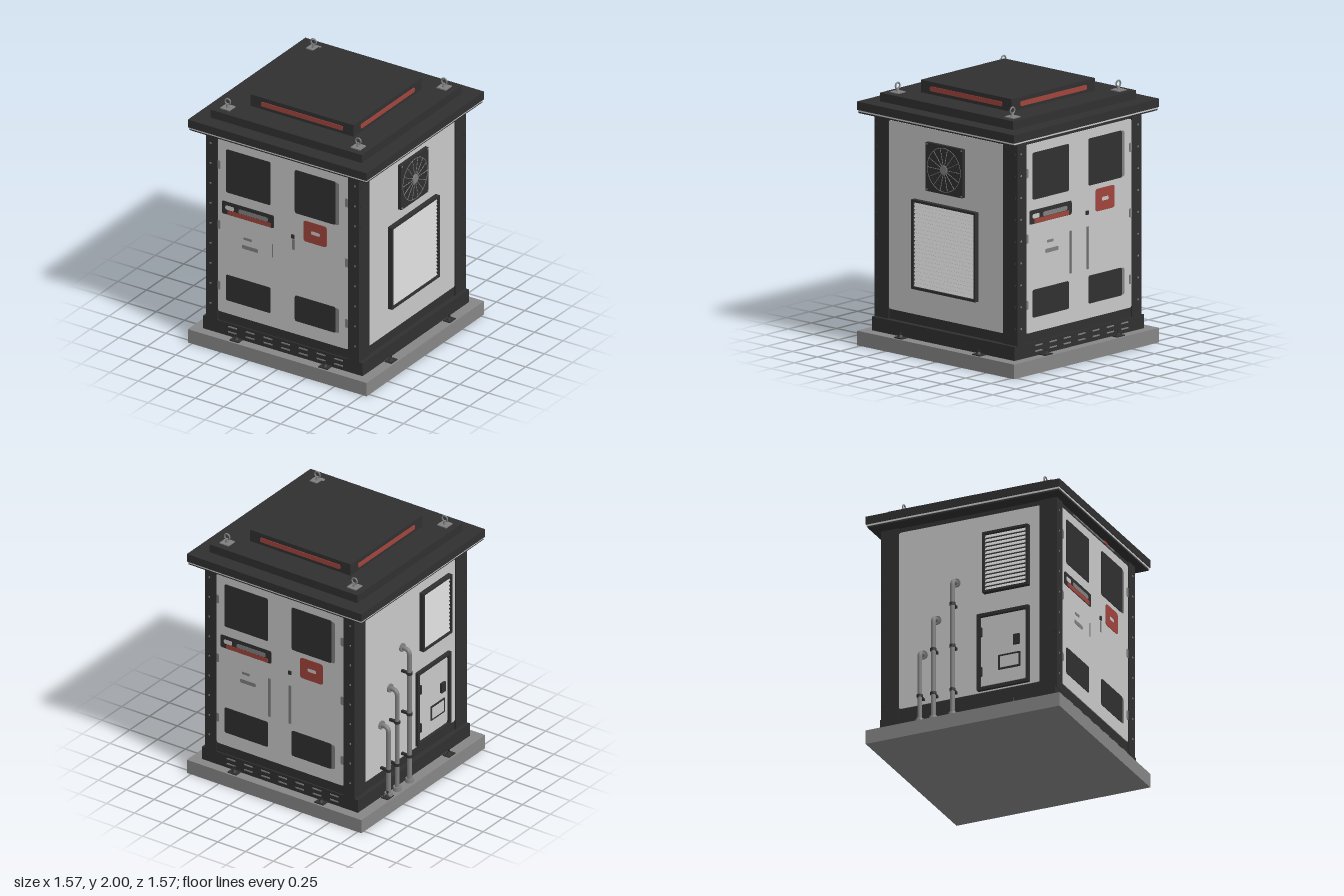
import * as THREE from 'three';

const mat = (name, color, side = THREE.FrontSide) => {
  const m = new THREE.MeshStandardMaterial({ color, side });
  m.name = name;
  return m;
};

export function createModel() {
  const dark = mat('charcoal paint', 0x303030);
  const light = mat('light grey panel', 0xc8c8c8);
  const grey = mat('concrete grey', 0x868686);
  const steel = mat('steel', 0x808080);
  const red = mat('signal red', 0xa0443c);
  const root = new THREE.Group();

  const add = (parent, name, geo, m, x = 0, y = 0, z = 0) => {
    const mesh = new THREE.Mesh(geo, m);
    mesh.name = name;
    mesh.position.set(x, y, z);
    parent.add(mesh);
    return mesh;
  };
  const box = (parent, name, m, w, h, d, x, y, z) =>
    add(parent, name, new THREE.BoxGeometry(w, h, d), m, x, y, z);
  // box centred on x and z, given by its bottom and top
  const tier = (name, m, w, d, y0, y1) => box(root, name, m, w, y1 - y0, d, 0, (y0 + y1) / 2, 0);

  const roundRect = (P, x0, y0, x1, y1, r) => {
    const s = new P();
    s.moveTo(x0 + r, y0);
    s.lineTo(x1 - r, y0); s.quadraticCurveTo(x1, y0, x1, y0 + r);
    s.lineTo(x1, y1 - r); s.quadraticCurveTo(x1, y1, x1 - r, y1);
    s.lineTo(x0 + r, y1); s.quadraticCurveTo(x0, y1, x0, y1 - r);
    s.lineTo(x0, y0 + r); s.quadraticCurveTo(x0, y0, x0 + r, y0);
    return s;
  };
  // rounded plate between corners, with an optional rectangular opening
  const plate = (parent, name, m, [x0, y0, x1, y1], r, z, d = 0.005, hole = null) => {
    const s = roundRect(THREE.Shape, x0, y0, x1, y1, r);
    if (hole) s.holes.push(roundRect(THREE.Path, ...hole, r * 0.6));
    const g = new THREE.ExtrudeGeometry(s, { depth: d, bevelEnabled: false, curveSegments: 4 });
    return add(parent, name, g, m, 0, 0, z);
  };
  // group whose local +z points out of one side of the enclosure
  const side = (name, angle) => {
    const g = new THREE.Group();
    g.name = name;
    g.rotation.y = angle;
    root.add(g);
    return g;
  };

  // base, body and stepped roof
  tier('baseSlab', grey, 1.57, 1.57, 0, 0.11);
  tier('skirt', dark, 1.4, 1.42, 0.11, 0.215);
  tier('body', dark, 1.32, 1.4, 0.2, 1.757);
  tier('roofLip', dark, 1.55, 1.55, 1.752, 1.764);
  tier('roofTrim', light, 1.56, 1.56, 1.764, 1.777);
  tier('roofPlate', dark, 1.57, 1.57, 1.777, 1.84);
  tier('roofStep', dark, 1.33, 1.33, 1.84, 1.905);
  tier('roofCap', dark, 0.905, 0.905, 1.905, 2.0);

  // corner posts with rivets, lifting eyes
  for (const sx of [-1, 1]) for (const sz of [-1, 1]) {
    box(root, 'cornerPost', dark, 0.1, 1.545, 0.14, sx * 0.622, 0.985, sz * 0.642);
    for (let i = 0; i < 9; i++) {
      const y = 0.34 + i * 0.165;
      box(root, 'rivet', steel, 0.012, 0.012, 0.006, sx * 0.633, y, sz * 0.713);
      box(root, 'rivet', dark, 0.008, 0.014, 0.014, sx * 0.674, y, sz * 0.69);
    }
    const eye = new THREE.Group();
    eye.name = 'liftingEye';
    eye.position.set(sx * 0.573, 1.905, sz * 0.573);
    root.add(eye);
    box(eye, 'eyePlate', steel, 0.082, 0.008, 0.082, 0, 0.004, 0);
    add(eye, 'eyeStem', new THREE.CylinderGeometry(0.009, 0.016, 0.03, 12), steel, 0, 0.02, 0);
    add(eye, 'eyeRing', new THREE.TorusGeometry(0.023, 0.006, 8, 20), steel, 0, 0.052, 0);
  }

  // roof strips and ground anchors on all four sides
  for (let i = 0; i < 4; i++) {
    const s = side('sideFittings', i * Math.PI / 2);
    plate(s, 'roofStrip', red, [-0.36, 1.93, 0.36, 1.967], 0.015, 0.452);
    for (const x of [-0.39, 0.39]) {
      box(s, 'anchorFoot', dark, 0.08, 0.008, 0.06, x, 0.114, 0.74);
      add(s, 'anchorNut', new THREE.CylinderGeometry(0.012, 0.022, 0.02, 6), dark, x, 0.126, 0.74);
      add(s, 'anchorBolt', new THREE.CylinderGeometry(0.006, 0.006, 0.03, 8), dark, x, 0.145, 0.74);
    }
  }

  // double doors, the same on front and back
  const doors = (name, angle, longHandles) => {
    const s = side(name, angle);
    const Z = 0.706;
    plate(s, 'doorPanel', light, [-0.573, 0.29, 0.57, 1.715], 0.02, 0.699, 0.007);
    for (const [y0, y1] of [[1.29, 1.645], [0.4, 0.61]]) {
      plate(s, 'windowLeft', dark, [-0.5, y0, -0.11, y1], 0.015, Z, 0.004);
      plate(s, 'windowEdge', steel, [0.4, y0 + 0.004, 0.492, y1 - 0.004], 0.02, Z, 0.003);
      plate(s, 'windowRight', dark, [0.105, y0, 0.462, y1], 0.015, Z, 0.005);
    }
    plate(s, 'signPlate', dark, [-0.535, 1.108, -0.08, 1.212], 0.015, Z, 0.004);
    plate(s, 'signStripe', red, [-0.485, 1.11, -0.11, 1.145], 0.004, Z + 0.003, 0.003);
    plate(s, 'signPatch', light, [-0.505, 1.148, -0.43, 1.182], 0.014, Z + 0.003, 0.003);
    plate(s, 'signPatch', steel, [-0.39, 1.148, -0.13, 1.182], 0.014, Z + 0.003, 0.003);
    plate(s, 'markerBadge', red, [0.18, 1.08, 0.385, 1.25], 0.025, Z, 0.004, [0.245, 1.15, 0.325, 1.18]);
    plate(s, 'smallTag', steel, [-0.345, 0.94, -0.275, 0.96], 0.006, Z, 0.003);
    plate(s, 'smallTag', steel, [-0.36, 0.865, -0.22, 0.895], 0.01, Z, 0.003);
    box(s, 'lockKnob', dark, 0.025, 0.03, 0.012, 0.088, 1.09, Z + 0.003);
    for (const x of [-0.092, 0.092]) {
      if (longHandles) box(s, 'doorHandle', steel, 0.02, 0.32, 0.012, x, 0.825, Z + 0.004);
      else if (x < 0) box(s, 'handleEdge', steel, 0.01, 0.11, 0.006, x, 0.92, Z);
      else box(s, 'latch', steel, 0.022, 0.085, 0.008, x, 1.025, Z);
    }
    for (const y of [0.505, 1.005, 1.5]) for (const sx of [-1, 1])
      plate(s, 'hinge', steel, sx < 0 ? [-0.578, y - 0.035, -0.55, y + 0.035]
        : [0.545, y - 0.035, 0.574, y + 0.035], 0.01, Z, 0.004);
    // lower air slots and header strip
    for (let i = 0; i < 7; i++) for (const y of [0.145, 0.188])
      box(s, 'airSlot', steel, 0.075, 0.01, 0.006, -0.44 + i * 0.155, y, 0.712);
    box(s, 'headerRail', steel, 0.7, 0.01, 0.01, -0.02, 1.735, 0.703);
    box(s, 'headerLamp', red, 0.05, 0.02, 0.012, 0.18, 1.738, 0.704);
  };
  doors('frontDoors', 0, false);
  doors('backDoors', Math.PI, true);

  // framed louvre grille
  const louvre = (s, [x0, y0, x1, y1], n) => {
    const f = 0.018, cx = (x0 + x1) / 2, step = (y1 - y0 - 2 * f) / n;
    plate(s, 'louvreFrame', dark, [x0, y0, x1, y1], 0.004, 0.662, 0.04,
      [x0 + f, y0 + f, x1 - f, y1 - f]);
    box(s, 'louvreBacking', dark, x1 - x0 - f, y1 - y0 - f, 0.004, cx, (y0 + y1) / 2, 0.669);
    for (let i = 0; i < n; i++) {
      const slat = box(s, 'slat', light, x1 - x0 - 2 * f, step * 0.95, 0.004,
        cx, y0 + f + (i + 0.5) * step, 0.684);
      slat.rotation.x = -0.5;
    }
  };

  // right side: fan and large grille
  const right = side('rightSide', Math.PI / 2);
  plate(right, 'sidePanel', light, [-0.573, 0.29, 0.573, 1.715], 0.02, 0.659, 0.007);
  louvre(right, [-0.32, 0.488, 0.32, 1.163], 22);
  const fan = new THREE.Group();
  fan.name = 'fan';
  fan.position.set(0, 1.433, 0.665);
  right.add(fan);
  plate(fan, 'fanHousing', dark, [-0.184, -0.184, 0.184, 0.184], 0.008, 0, 0.028);
  for (const r of [0.165, 0.135, 0.1, 0.066])
    add(fan, 'guardRing', new THREE.TorusGeometry(r, 0.0025, 4, 40), r === 0.165 ? steel : dark, 0, 0, 0.03);
  for (let i = 0; i < 14; i++) {
    const a = i * Math.PI / 7;
    const spoke = box(fan, 'guardSpoke', steel, 0.135, 0.0035, 0.004,
      Math.cos(a) * 0.098, Math.sin(a) * 0.098, 0.03);
    spoke.rotation.z = a;
  }
  add(fan, 'fanHub', new THREE.CylinderGeometry(0.035, 0.035, 0.012, 24), steel, 0, 0, 0.03)
    .rotation.x = Math.PI / 2;
  for (const sx of [-1, 1]) for (const sy of [-1, 1])
    box(fan, 'fanScrew', steel, 0.012, 0.012, 0.004, sx * 0.172, sy * 0.172, 0.029);

  // left side: small grille, service hatch and pipes
  const left = side('leftSide', -Math.PI / 2);
  plate(left, 'sidePanel', light, [-0.573, 0.29, 0.573, 1.715], 0.02, 0.659, 0.007);
  louvre(left, [0.12, 1.08, 0.49, 1.57], 14);
  plate(left, 'hatchFrame', dark, [0.07, 0.3, 0.49, 0.92], 0.006, 0.664, 0.026, [0.095, 0.325, 0.465, 0.895]);
  plate(left, 'hatchDoor', light, [0.105, 0.335, 0.455, 0.885], 0.012, 0.664, 0.014);
  box(left, 'hatchLock', dark, 0.05, 0.08, 0.02, 0.39, 0.66, 0.684);
  plate(left, 'hatchLabelFrame', dark, [0.24, 0.44, 0.42, 0.56], 0.006, 0.678, 0.005);
  plate(left, 'hatchLabel', light, [0.255, 0.455, 0.405, 0.545], 0.004, 0.682, 0.004);
  for (const y of [0.45, 0.77]) box(left, 'hatchHinge', dark, 0.02, 0.07, 0.02, 0.1, y, 0.685);

  const Z = 0.735;
  for (const [x, top] of [[-0.105, 1.215], [-0.26, 0.945], [-0.37, 0.685]]) {
    const path = new THREE.CurvePath();
    const p = (y, z) => new THREE.Vector3(x, y, z);
    path.add(new THREE.LineCurve3(p(0.11, Z), p(top - 0.045, Z)));
    path.add(new THREE.QuadraticBezierCurve3(p(top - 0.045, Z), p(top, Z), p(top, Z - 0.045)));
    path.add(new THREE.LineCurve3(p(top, Z - 0.045), p(top, 0.66)));
    add(left, 'pipe', new THREE.TubeGeometry(path, 90, 0.018, 12), steel);
    add(left, 'pipeFlange', new THREE.CylinderGeometry(0.034, 0.034, 0.012, 16), steel, x, top, 0.672)
      .rotation.x = Math.PI / 2;
    add(left, 'pipeFoot', new THREE.CylinderGeometry(0.03, 0.034, 0.03, 16), steel, x, 0.125, Z);
    for (const y of [0.325, 0.68, 1.02].filter((v) => v < top - 0.08)) {
      box(left, 'pipeBracket', dark, 0.02, 0.018, 0.07, x, y, 0.695);
      add(left, 'pipeClamp', new THREE.CylinderGeometry(0.023, 0.023, 0.022, 12), dark, x, y, Z);
    }
  }
  return root;
}
